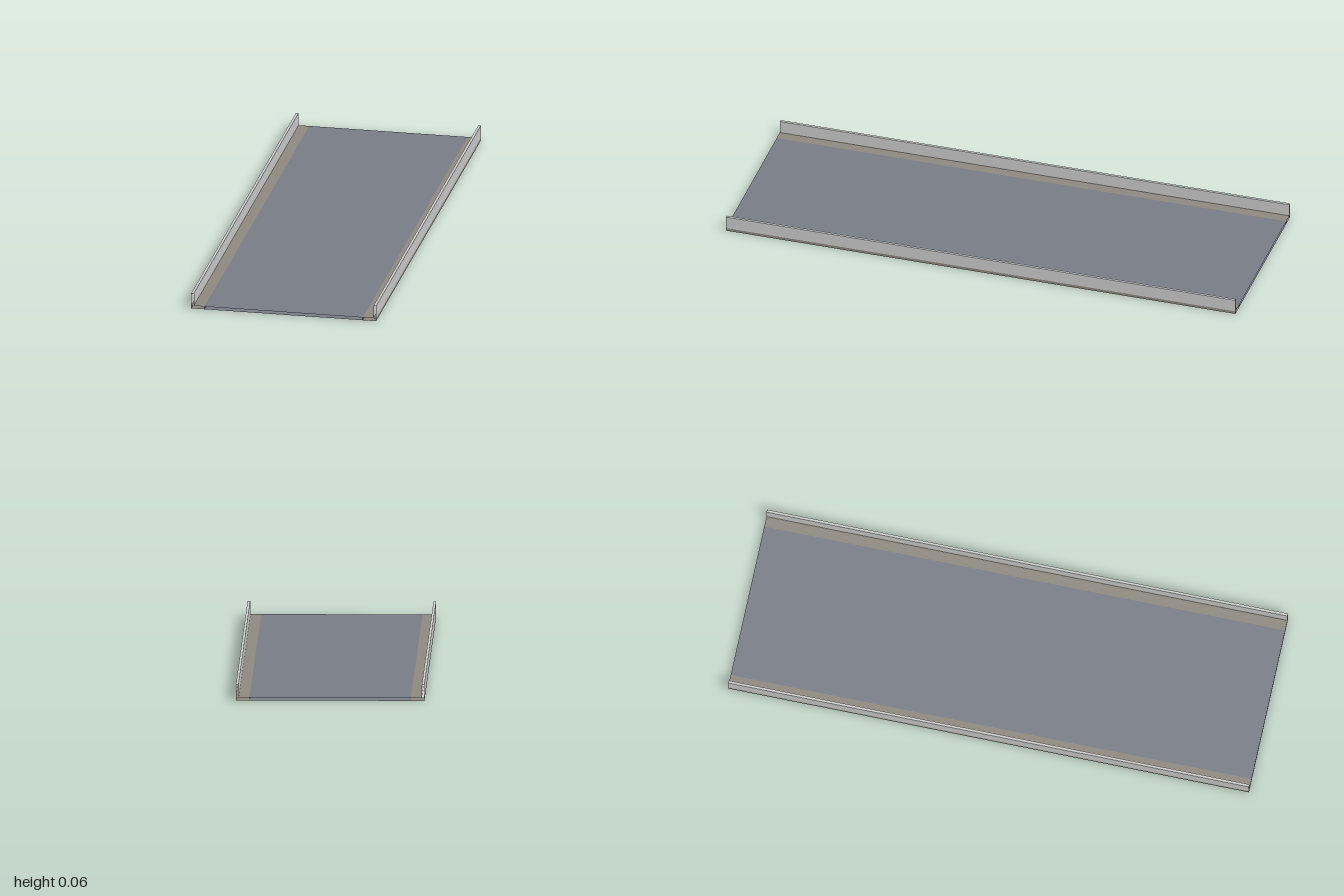
import * as THREE from 'three';

const LENGTH = 2;

const material = (color) => new THREE.MeshStandardMaterial({ color, side: THREE.DoubleSide });

// Rectangular section running along z, open at both ends
function section(name, x0, x1, y0, y1, mat) {
  const geometry = new THREE.BoxGeometry(x1 - x0, y1 - y0, LENGTH);
  geometry.setIndex(Array.from(geometry.index.array).slice(0, 24)); // drop the two end faces
  geometry.clearGroups();
  geometry.translate((x0 + x1) / 2, (y0 + y1) / 2, 0);
  const mesh = new THREE.Mesh(geometry, mat);
  mesh.name = name;
  return mesh;
}

export function createModel() {
  const model = new THREE.Group();
  model.name = 'roadDeck';

  const roadMat = material(0x777c86);
  const shoulderMat = material(0x8d887f);
  const wallMat = material(0xcccccc);

  const slab = 0.011;   // deck thickness
  const roadHalf = 0.303;
  const outer = 0.354;
  const wall = 0.01;    // parapet thickness
  const top = 0.06;

  // Road surface
  model.add(section('road', -roadHalf, roadHalf, 0, slab, roadMat));

  // Shoulder strip and parapet on each side
  for (const [side, s] of [['left', 1], ['right', -1]]) {
    const span = (a, b) => (s > 0 ? [a, b] : [-b, -a]);
    model.add(section(side + 'Shoulder', ...span(roadHalf, outer), 0, slab, shoulderMat));
    model.add(section(side + 'Parapet', ...span(outer - wall, outer), slab, top, wallMat));
  }
  return model;
}
